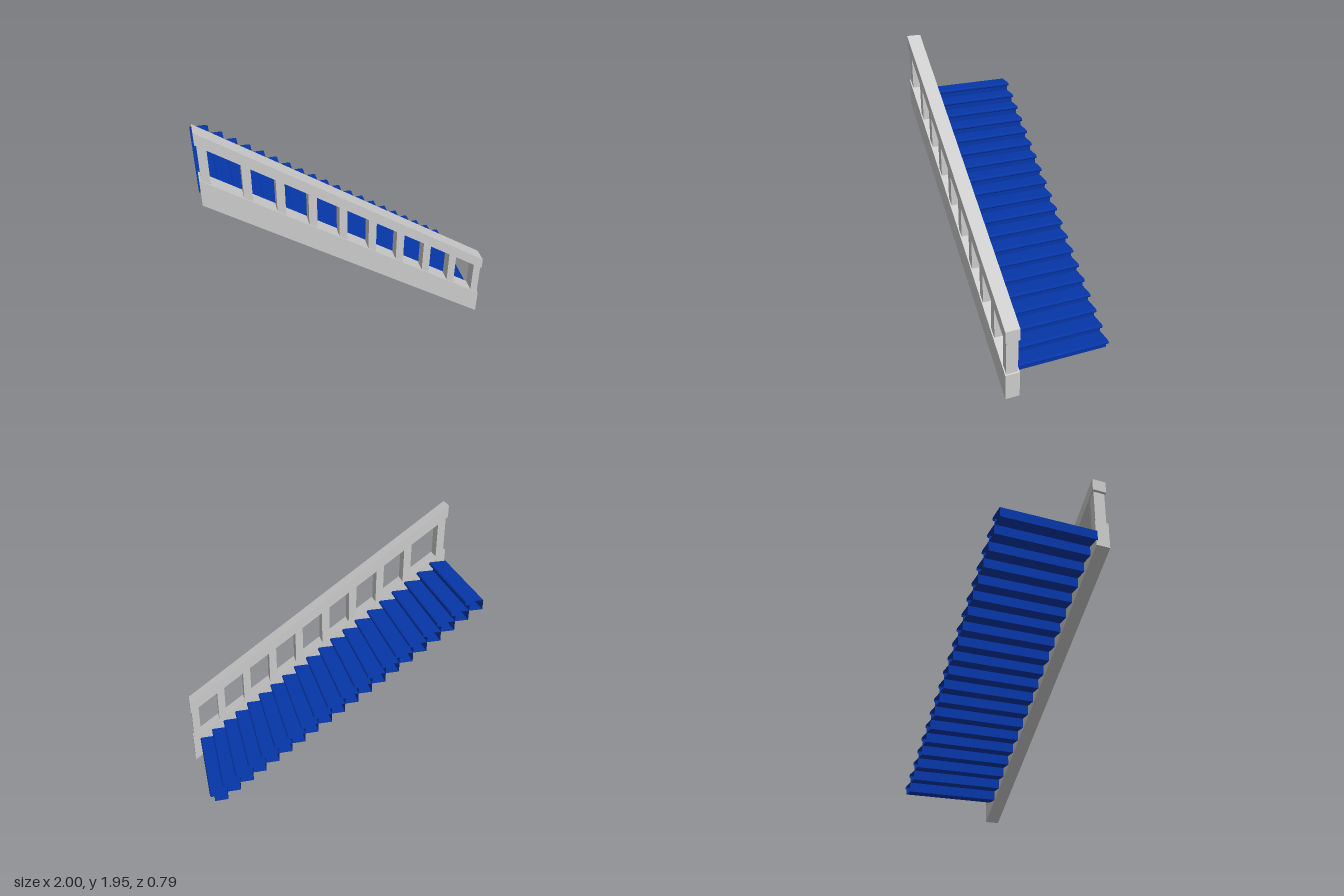
import * as THREE from 'three';

const SLOPE = 0.7095;
const blue = new THREE.MeshStandardMaterial({ color: 0x0636a8, flatShading: true, side: THREE.DoubleSide });
const grey = new THREE.MeshStandardMaterial({ color: 0xcccccc, flatShading: true });

// Open-ended sheet: an x-y profile swept between two z positions
function sheet(points, z0, z1) {
  const n = points.length;
  const geometry = new THREE.PlaneGeometry(1, 1, n - 1, 1);
  const position = geometry.attributes.position;
  for (let i = 0; i < position.count; i++) {
    const [x, y] = points[i % n];
    position.setXYZ(i, x, y, i < n ? z0 : z1);
  }
  const flat = geometry.toNonIndexed();
  flat.computeVertexNormals();
  return flat;
}

// Upright-ended bar following the pitch; bottom and top are heights at x = 1
function slopedBar(name, x0, x1, bottom, top, z0, z1) {
  const at = (x, h) => new THREE.Vector2(x, h + SLOPE * (1 - x));
  const shape = new THREE.Shape([at(x0, bottom), at(x1, bottom), at(x1, top), at(x0, top)]);
  const geometry = new THREE.ExtrudeGeometry(shape, { depth: z1 - z0, bevelEnabled: false });
  geometry.translate(0, 0, z0);
  const mesh = new THREE.Mesh(geometry, grey);
  mesh.name = name;
  return mesh;
}

export function createModel() {
  const model = new THREE.Group();
  model.name = 'staircase';

  // Flight of hollow box steps, each standing on the back edge of the one below
  const flight = new THREE.Group();
  flight.name = 'flight';
  const count = 20, going = 0.0957, rise = 0.069;
  const riserX = -0.033, backX = riserX - going, noseRadius = 0.013;
  const profile = [[backX, 0]];
  for (let k = 0; k <= 6; k++) {
    const a = Math.PI / 2 - (k / 6) * Math.PI;
    profile.push([noseRadius * (Math.cos(a) - 1), noseRadius * (Math.sin(a) - 1)]);
  }
  profile.push([riserX, -2 * noseRadius], [riserX, -rise], [backX, -rise], [backX, 0]);
  const stepGeometry = sheet(profile, -0.396, 0.3);
  for (let i = 0; i < count; i++) {
    const step = new THREE.Mesh(stepGeometry, blue);
    step.name = `step${i + 1}`;
    step.position.set(0.947 - i * going, 0.209 + i * rise, 0);
    flight.add(step);
  }
  model.add(flight);

  // Side stringer, handrail and balusters on the front side
  const railing = new THREE.Group();
  railing.name = 'railing';
  railing.add(slopedBar('stringer', -0.99, 1, 0.003, 0.196, 0.293, 0.396));
  railing.add(slopedBar('handrail', -0.99, 1, 0.453, 0.54, 0.293, 0.396));
  for (let i = 0; i < 10; i++) {
    const x = i === 0 ? -0.978 : 0.937 - (9 - i) * 0.208;
    railing.add(slopedBar('baluster', x, x + 0.056, 0.196, 0.453, 0.303, 0.387));
  }
  model.add(railing);
  return model;
}
